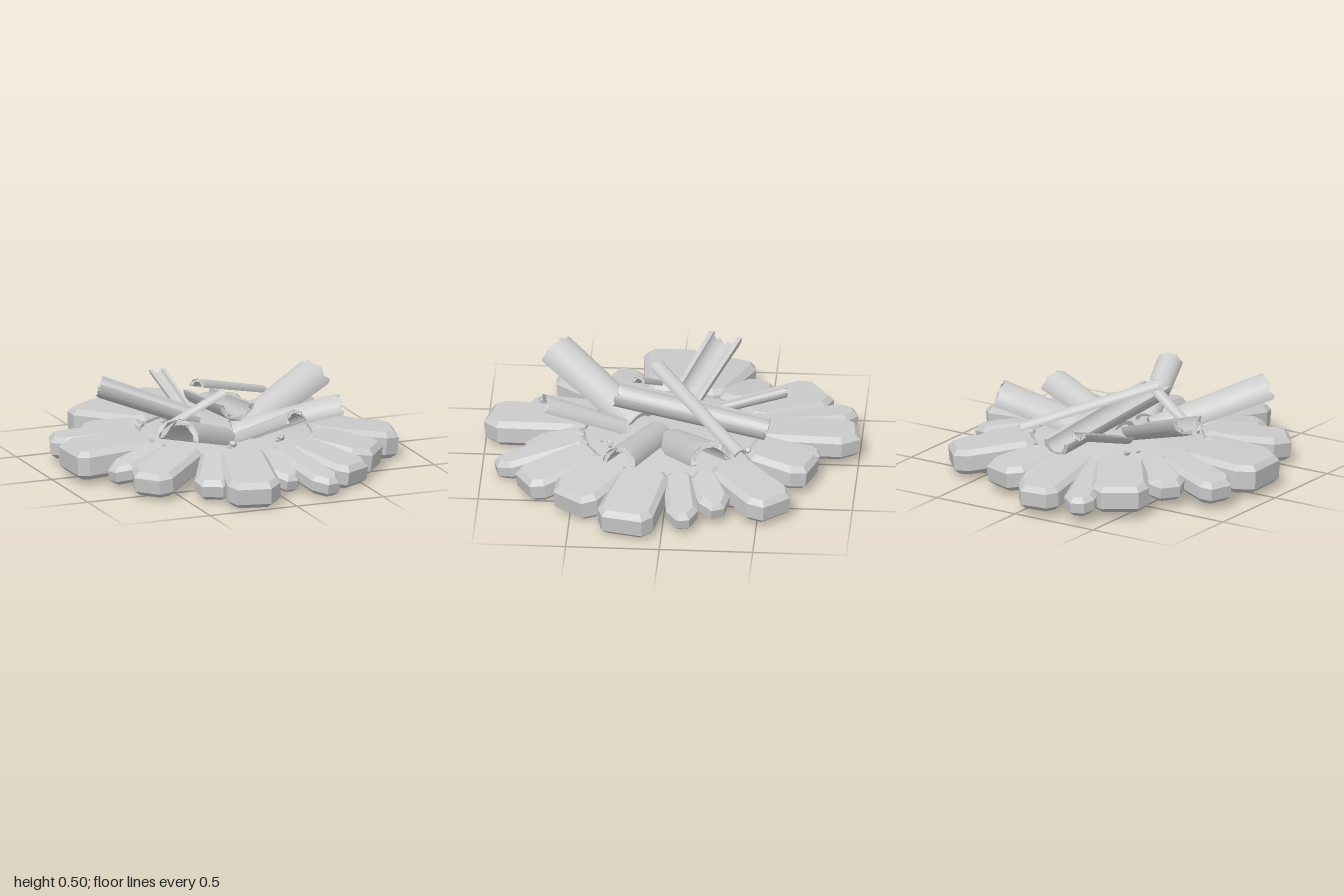
import * as THREE from 'three';
import { toCreasedNormals } from 'three/addons/utils/BufferGeometryUtils.js';

const mat = new THREE.MeshStandardMaterial({ color: 0xcccccc, side: THREE.DoubleSide });

// small seeded generator for uneven corners
let seed = 7;
const rnd = () => (seed = (seed * 16807) % 2147483647) / 2147483647;

// aims the mesh's local +z from the inner to the outer point
function place(mesh, from, to) {
  mesh.position.set(...from);
  mesh.lookAt(...to);
}

// flat chamfered slab, running outwards along +z from the inner end
function stone(length, width, thick) {
  const b = Math.min(0.028, thick * 0.25);
  const corner = () => 0.035 + 0.03 * rnd();
  const [p, q, r, s] = [corner(), corner(), corner(), corner()];
  const i = width * 0.46, o = width / 2;
  const outline = new THREE.Shape();
  outline.moveTo(p - i, 0);
  outline.lineTo(-i, -p);
  outline.lineTo(-o, q * 1.6 - length);
  outline.lineTo(q - o, -length);
  outline.lineTo(o - r, -length);
  outline.lineTo(o, r * 1.4 - length);
  outline.lineTo(i, -s);
  outline.lineTo(i - s, 0);
  const g = new THREE.ExtrudeGeometry(outline, {
    depth: thick - 2 * b, bevelSize: b, bevelOffset: -b, bevelThickness: b, bevelSegments: 1,
  });
  g.translate(0, 0, b);
  g.rotateX(-Math.PI / 2);
  return toCreasedNormals(g, 0.4);
}

// split log: tapered half ring along +z, torn at the outer end
function splitLog(length, radius) {
  const wall = radius < 0.05 ? 0.4 : 0.27;
  const ring = new THREE.Shape();
  ring.absarc(0, 0, 1, 0, Math.PI, false);
  ring.absarc(0, 0, 1 - wall, Math.PI, 0, true);
  const g = new THREE.ExtrudeGeometry(ring, { depth: 1, steps: 4, curveSegments: 14, bevelEnabled: false });
  const pos = g.attributes.position;
  for (let k = 0; k < pos.count; k++) {
    const x = pos.getX(k), y = pos.getY(k), t = pos.getZ(k);
    const a = Math.atan2(y, x);
    const rad = radius * (0.87 + 0.13 * t);
    const jag = t > 0.9 ? 0.1 * radius * (Math.sin(a * 9) + 0.6 * Math.sin(a * 17 + 1)) : 0;
    pos.setXYZ(k, x * rad, y * rad, t * length + jag);
  }
  return toCreasedNormals(g, 0.6);
}

// angle from the front in degrees, outer radius, width
const STONES = [
  [-174, 1.0, 0.26], [-159, 1.03, 0.17], [-146, 0.94, 0.31], [-126, 0.79, 0.2], [-110, 0.93, 0.22],
  [-88, 0.92, 0.34], [-68, 0.84, 0.17], [-50, 0.91, 0.26], [-27, 0.87, 0.2], [-13, 1.01, 0.29],
  [4, 0.78, 0.16], [15, 0.95, 0.17], [31, 0.88, 0.25], [52, 0.83, 0.31], [77, 0.91, 0.31],
  [98, 0.83, 0.17], [113, 0.76, 0.18], [132, 0.9, 0.28], [161, 0.81, 0.27], [174, 0.8, 0.13],
];

// name, inner end, outer end, radius, hollow side up
const LOGS = [
  ['centreLog', [0.06, 0.27, -0.52], [-0.05, 0.4, 0.28], 0.095, true],
  ['leaningStick', [0.37, 0.25, -0.39], [-0.2, 0.46, 0.09], 0.043, false],
  ['shortStick', [-0.42, 0.23, 0.1], [-0.07, 0.43, 0.18], 0.035, false],
  ['backLeftLog', [-0.12, 0.27, -0.04], [-0.6, 0.45, -0.25], 0.095, true],
  ['backStick', [-0.14, 0.23, -0.13], [-0.145, 0.38, -0.6], 0.045, true],
  ['rightBackLog', [0.1, 0.14, -0.02], [0.61, 0.33, -0.25], 0.115, false],
  ['rightLog', [0.02, 0.16, 0.07], [0.57, 0.285, 0.24], 0.092, false],
  ['frontLog', [0, 0.18, 0.26], [0.13, 0.375, 0.68], 0.07, false],
  ['frontLeftLog', [-0.1, 0.15, 0.18], [-0.53, 0.335, 0.64], 0.112, false],
];

export function createModel() {
  const model = new THREE.Group();
  const add = (name, geometry, parent = model) => {
    const m = new THREE.Mesh(geometry, mat);
    m.name = name;
    parent.add(m);
    return m;
  };

  // low domed bed of earth
  const profile = [[0, 0.06], [0.54, 0.06], [0.57, 0.1], [0.52, 0.155], [0.3, 0.19], [0, 0.2]];
  add('groundBed', toCreasedNormals(
    new THREE.LatheGeometry(profile.map(([x, y]) => new THREE.Vector2(x, y)), 32), 0.5));

  // ring of slabs, each sloping down outwards; wider slabs are thicker
  const ring = new THREE.Group();
  ring.name = 'stoneRing';
  model.add(ring);
  const inner = 0.44;
  for (const [degrees, outer, width] of STONES) {
    const a = THREE.MathUtils.degToRad(degrees);
    const thick = 0.06 + 0.28 * width;
    const base = 0.022 - 0.02 * Math.cos(a - 0.6);
    const at = (r, y) => [r * Math.sin(a), y, r * Math.cos(a)];
    place(add('stone', stone(outer - inner, width, thick), ring), at(inner, 0.21 - thick), at(outer, base));
  }

  // split logs and sticks
  for (const [name, from, to, radius, hollowUp] of LOGS) {
    const length = new THREE.Vector3(...from).distanceTo(new THREE.Vector3(...to));
    const g = splitLog(length, radius);
    if (hollowUp) g.rotateZ(Math.PI);
    place(add(name, g), from, to);
  }

  // loose pebbles in the gaps between the logs
  const gaps = [[-0.25, -0.245], [0.19, -0.4], [0.125, 0], [-0.12, 0.37], [0.17, 0.34]];
  for (const [x, z] of gaps) {
    for (const side of [-1, 1]) {
      const m = add('pebble', new THREE.DodecahedronGeometry(0.019 + 0.006 * side, 0));
      m.position.set(x + 0.02 * side, 0.197, z - 0.025 * side);
      m.rotation.set(rnd() * 3, rnd() * 3, 0);
      m.scale.set(1, 0.8, 0.8);
    }
  }
  return model;
}
